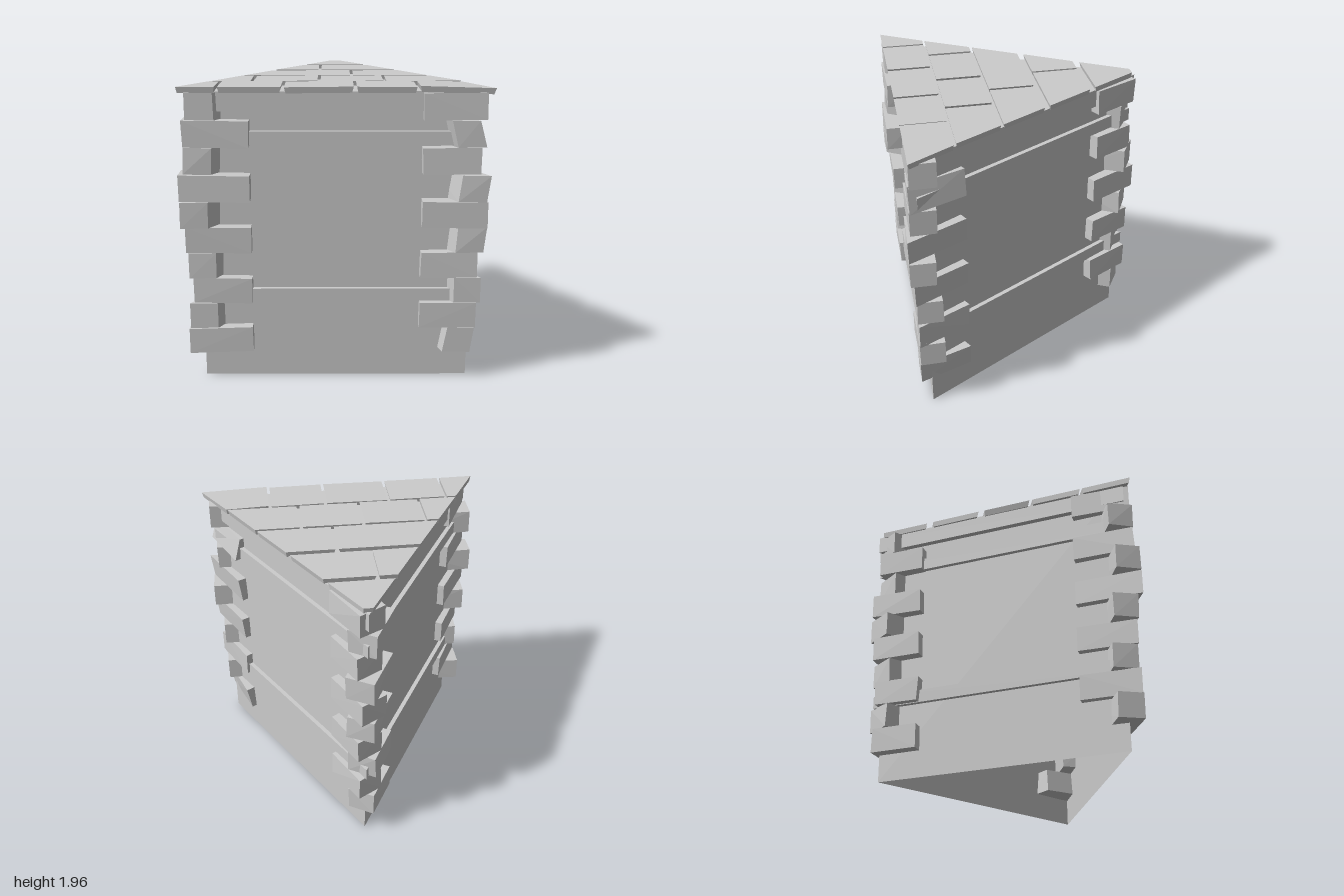
import * as THREE from 'three';
import { ConvexGeometry } from 'three/addons/geometries/ConvexGeometry.js';

const stone = new THREE.MeshStandardMaterial({ color: 0xcccccc, flatShading: true, side: THREE.DoubleSide });
stone.name = 'grey stone';

// small seeded noise for hand-laid irregularity
let seed = 7;
const noise = (amp) => {
  seed = (seed * 16807) % 2147483647;
  return (seed / 2147483647 - 0.5) * 2 * amp;
};

const RADIUS = 1.01;   // circumradius of the triangular plan
const CENTRE_Z = RADIUS / 4;

function add(group, name, geometry) {
  const mesh = new THREE.Mesh(geometry, stone);
  mesh.name = name;
  group.add(mesh);
  return mesh;
}

// triangle with its apex to the back, offset outward by d
function trianglePoints(d) {
  const r = RADIUS + 2 * d;
  return [0, 1, 2].map((i) => {
    const a = Math.PI / 2 + (i * Math.PI * 2) / 3;
    return new THREE.Vector2(Math.cos(a) * r, Math.sin(a) * r);
  });
}

// horizontal triangular slab or ring between two heights
function triangleSlab(y0, y1, outer, inner) {
  const shape = new THREE.Shape(trianglePoints(outer));
  if (inner !== undefined) shape.holes.push(new THREE.Path(trianglePoints(inner).reverse()));
  const geometry = new THREE.ExtrudeGeometry(shape, { depth: y1 - y0, bevelEnabled: false });
  geometry.rotateX(-Math.PI / 2);
  geometry.translate(0, y0, CENTRE_Z);
  return geometry;
}

// convex block from a plan outline [x, z], slightly leaning and tilted
function block(plan, y0, y1, { lean = 0, jitter = 0, tilt = 0, taper = 1 } = {}) {
  const cx = plan.reduce((s, p) => s + p[0], 0) / plan.length;
  const cz = plan.reduce((s, p) => s + p[1], 0) / plan.length;
  const points = [];
  for (const [x, z] of plan) {
    const dy = (x - cx) * tilt;
    const bx = cx + (x - cx) * taper, bz = cz + (z - cz) * taper;
    points.push(new THREE.Vector3(bx - lean / 2 + noise(jitter), y0 + dy, bz + noise(jitter)));
    points.push(new THREE.Vector3(x + lean / 2 + noise(jitter), y1 + dy, z + noise(jitter)));
  }
  return new ConvexGeometry(points);
}

const mirror = (plan) => plan.map(([x, z]) => [-x, z]);

// plans of the corner stones, for the +x side
const frontStone = (x, z) => [[0.55, z - 0.17], [x, z - 0.17], [x, z], [0.55, z]];
const sideStone = (x, z) => [[x, z], [x - 0.18, z], [0.63, 0.55], [0.77, 0.47]];
const backStone = (z) => {
  const s = 0.83 - z; // slides the outer end along the wall
  return [[0.21, -0.53], [0.052 + s * 0.57, -0.83 + s], [-0.12 + s * 0.57, -0.73 + s], [0.035, -0.43]];
};

export function createModel() {
  const model = new THREE.Group();
  model.name = 'triangularTower';

  // walls, open at the bottom
  const wall = new THREE.CylinderGeometry(RADIUS, RADIUS, 1.92, 3, 1, true, Math.PI);
  wall.translate(0, 0.96, CENTRE_Z);
  add(model, 'walls', wall);

  // projecting bands around the walls
  add(model, 'lowerBand', triangleSlab(0.53, 0.62, 0.03, -0.03));
  add(model, 'upperBand', triangleSlab(1.58, 1.67, 0.03, -0.03));
  add(model, 'topBand', triangleSlab(1.8, 1.915, 0.04, -0.03));
  add(model, 'roofBase', triangleSlab(1.905, 1.925, 0.04));

  // interlocking corner stones, ten courses
  const rightEnd = [0.9, 0.92, 0.95, 0.92, 0.96, 0.97, 0.97, 0.92, 0.93, 0.95];
  const leftEnd = [0.97, 0.96, 0.93, 0.96, 0.97, 1, 1, 0.97, 0.97, 0.95];
  const frontEnd = [0.83, 0.83, 0.83, 0.83, 0.84, 0.865, 0.865, 0.84, 0.84, 0.83];
  const backEnd = [0.82, 0.83, 0.81, 0.82, 0.84, 0.86, 0.86, 0.81, 0.82, 0.83];
  const rightLean = [0.03, 0, 0, 0, 0.02, 0, 0.02, 0, -0.04, 0];
  const corners = new THREE.Group();
  corners.name = 'cornerStones';
  model.add(corners);
  for (let i = 0; i < 10; i++) {
    const y0 = 0.19 + i * 0.173, y1 = y0 + 0.171;
    const even = i % 2 === 0;
    const z = frontEnd[i];
    const right = even ? sideStone(rightEnd[i], z) : frontStone(rightEnd[i], z);
    const left = mirror(even ? frontStone(leftEnd[i], z) : sideStone(leftEnd[i], z));
    const back = even ? mirror(backStone(backEnd[i])) : backStone(backEnd[i]);
    add(corners, 'rightCornerStone', block(right, y0, y1, { lean: rightLean[i], jitter: 0.004, tilt: noise(0.02) }));
    add(corners, 'leftCornerStone', block(left, y0, y1, { jitter: 0.004, tilt: i === 0 ? 0.03 : noise(0.02) }));
    add(corners, 'backCornerStone', block(back, y0, y1, { jitter: 0.006, tilt: noise(0.02) }));
  }

  // roof slabs in five rows: [z back, z front, joints between slabs]
  const rows = [
    [-0.81, -0.5, []],
    [-0.455, -0.14, [-0.11]],
    [-0.1, 0.2, [0.11]],
    [0.22, 0.525, [-0.545, -0.11, 0.32]],
    [0.54, 0.835, [-0.75, -0.335, 0.12, 0.515]],
  ];
  const edge = (z) => 0.495 + (z + 0.02) * 0.588; // half width of the roof
  const roof = new THREE.Group();
  roof.name = 'roofSlabs';
  model.add(roof);
  for (const [z0, z1, joints] of rows) {
    for (let i = 0; i <= joints.length; i++) {
      const first = i === 0, last = i === joints.length;
      const l0 = first ? -edge(z0) : joints[i - 1] + 0.01;
      const l1 = first ? -edge(z1) : joints[i - 1] + 0.01;
      const r0 = last ? edge(z0) : joints[i] - 0.01;
      const r1 = last ? edge(z1) : joints[i] - 0.01;
      const plan = [[l0, z0], [r0, z0], [r1, z1], [l1, z1]];
      const tilt = last && z1 > 0.8 ? -0.03 : noise(0.012);
      add(roof, 'roofSlab', block(plan, 1.918, 1.957, { tilt, taper: 0.95 }));
    }
  }
  return model;
}
